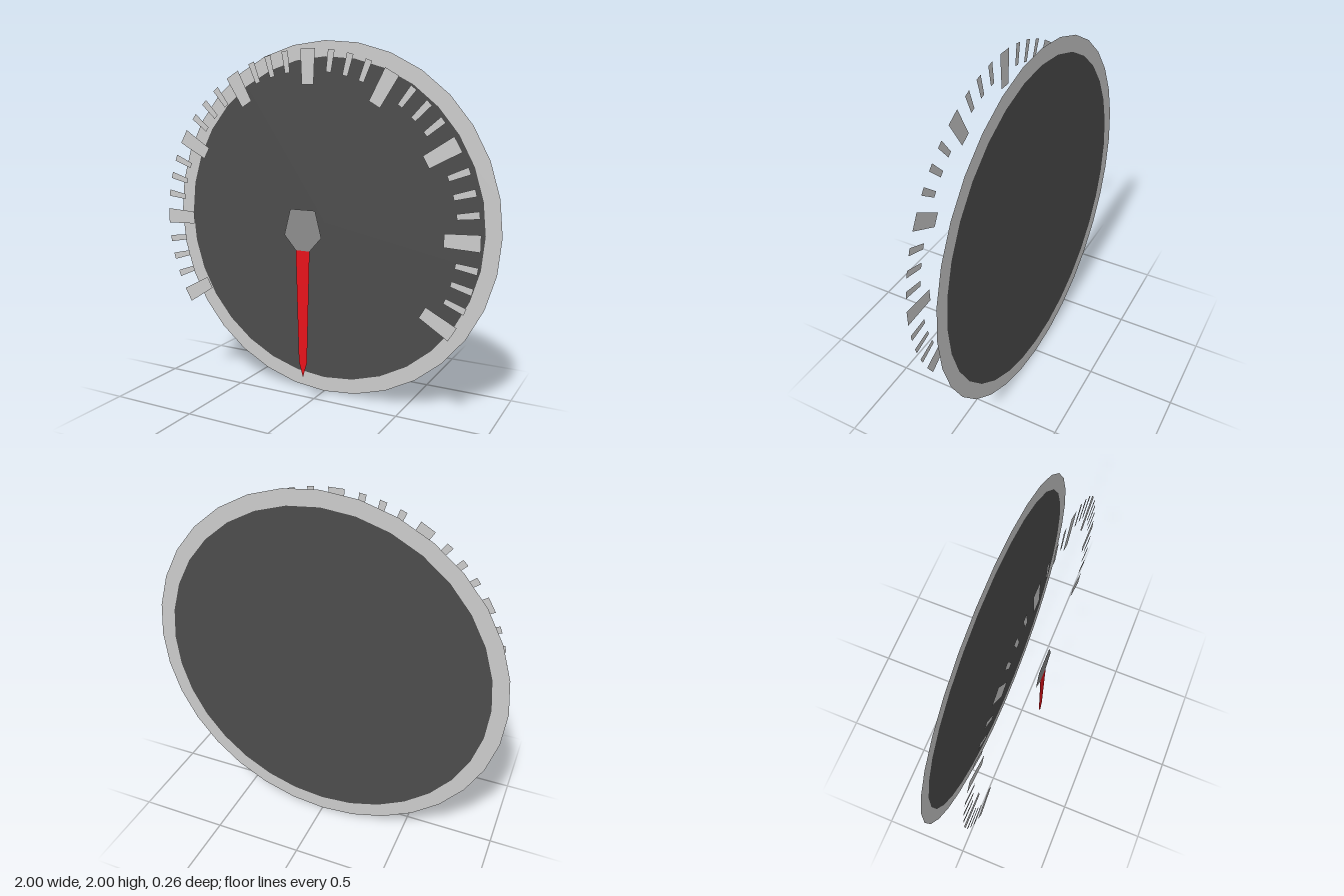
import * as THREE from 'three';

const BACK = -0.128, TICKS = 0.07, FRONT = 0.128; // depth of the three flat layers

const material = (color) => new THREE.MeshStandardMaterial({ color, side: THREE.DoubleSide });

function addFlat(parent, name, geometry, mat, z) {
  const mesh = new THREE.Mesh(geometry, mat);
  mesh.name = name;
  mesh.position.set(0, 1, z);
  parent.add(mesh);
  return mesh;
}

// Flat shape mirrored about x = 0, from the points of its right half
function mirroredShape(half) {
  const left = half.filter(([x]) => x > 0).map(([x, y]) => [-x, y]).reverse();
  return new THREE.ShapeGeometry(
    new THREE.Shape([...half, ...left].map(([x, y]) => new THREE.Vector2(x, y))));
}

export function createModel() {
  const gauge = new THREE.Group();
  gauge.name = 'gauge';
  const grey = material(0xcccccc);

  // Dial face and rim share one plane
  addFlat(gauge, 'face', new THREE.CircleGeometry(0.915, 32), material(0x4c4c4c), BACK);
  addFlat(gauge, 'rim', new THREE.RingGeometry(0.915, 1, 32), grey, BACK);

  // Floating scale: a wide tick every 30 degrees, three narrow ones between
  const scale = new THREE.Group();
  scale.name = 'scale';
  gauge.add(scale);
  const major = mirroredShape([[0.035, 0.76], [0.043, 0.945]]);
  const minor = mirroredShape([[0.015, 0.83], [0.019, 0.945]]);
  const addTick = (name, geometry, degrees) => {
    addFlat(scale, name, geometry, grey, TICKS).rotation.z = -THREE.MathUtils.degToRad(degrees);
  };
  for (let a = -120; a <= 120; a += 30) {
    addTick('majorTick', major, a);
    if (a < 120) for (const step of [8.4, 15, 21.6]) addTick('minorTick', minor, a + step);
  }

  // Needle hanging straight down from the hub
  addFlat(gauge, 'needle',
    mirroredShape([[0, -0.828], [0.025, -0.74], [0.042, -0.115]]), material(0xe8121a), FRONT);
  addFlat(gauge, 'hub',
    mirroredShape([[0.042, -0.115], [0.112, -0.036], [0.075, 0.107]]), material(0x8d8d8d), FRONT);

  return gauge;
}
